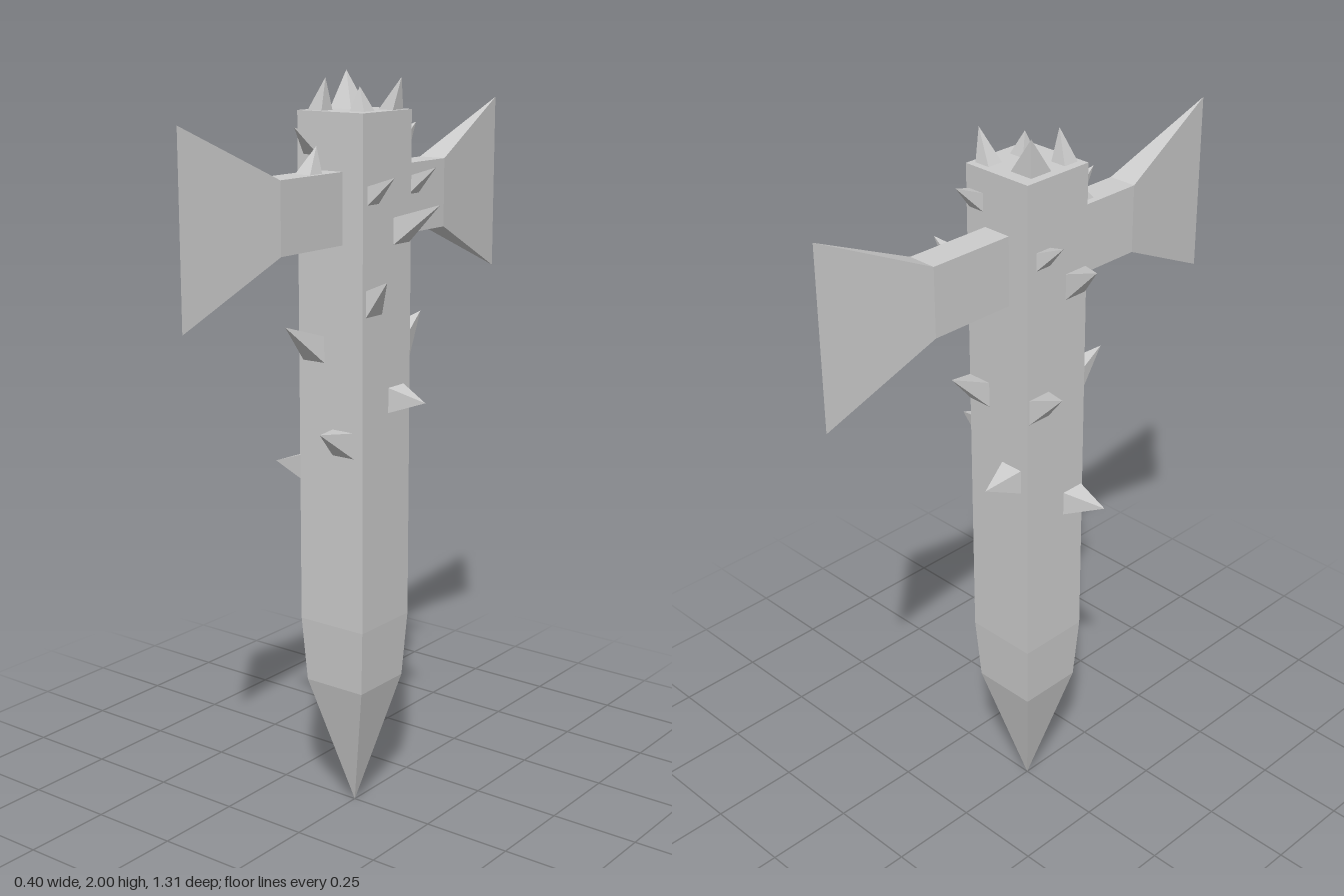
import * as THREE from 'three';

const material = new THREE.MeshStandardMaterial({ color: 0xcccccc, flatShading: true });
const HALF = 0.103; // half width of the post
const TOP = 1.905;

function addMesh(parent, name, geometry) {
  const flat = geometry.toNonIndexed();
  flat.computeVertexNormals();
  const mesh = new THREE.Mesh(flat, material);
  mesh.name = name;
  parent.add(mesh);
}

// Square post sharpened to a point at the bottom
function postGeometry() {
  const points = [[0, 0], [0.092, 0.37], [HALF, 0.55], [HALF, TOP], [0, TOP]]
    .map(([half, y]) => new THREE.Vector2(half * Math.SQRT2, y));
  return new THREE.LatheGeometry(points, 4, Math.PI / 4);
}

// Straight arm that flares into a vertical cutting edge
function bladeGeometry() {
  const geometry = new THREE.BoxGeometry(0.08, 2, 2, 1, 1, 2);
  const p = geometry.attributes.position;
  for (let i = 0; i < p.count; i++) {
    const section = Math.round(p.getZ(i)) + 1;
    const edge = section === 2;
    const [bottom, top] = edge ? [1.43, TOP] : [1.577, 1.76];
    p.setXYZ(i, edge ? 0 : p.getX(i), p.getY(i) > 0 ? top : bottom, [0.09, 0.345, 0.655][section]);
  }
  return geometry;
}

// Spike kinds: length outwards, upward lean of the tip, base size
const SMALL = { length: 0.067, lean: 0.048, size: 0.048 };
const LARGE = { length: 0.098, lean: 0.068, size: 0.07 };
const LEVEL = { length: 0.095, lean: 0, size: 0.068 };
const SLIM = { length: 0.082, lean: 0, size: 0.045 };
const STUB = { length: 0.053, lean: 0.06, size: 0.07 };

// Four-sided spike on a face that looks along local +z; drift moves the tip sideways
function addSpike(side, kind, x, y, drift = 0, out = HALF - 0.001) {
  const geometry = new THREE.ConeGeometry(kind.size * Math.SQRT1_2, 1, 4);
  geometry.rotateY(Math.PI / 4).translate(0, 0.5, 0).rotateX(Math.PI / 2);
  const shear = new THREE.Matrix4().makeBasis(
    new THREE.Vector3(1, 0, 0),
    new THREE.Vector3(0, 1, 0),
    new THREE.Vector3(drift, kind.lean, kind.length),
  );
  geometry.applyMatrix4(shear.setPosition(x, y, out));
  addMesh(side, 'spike', geometry);
}

// Group whose local +z points out of one face of the post
function addSide(model, name, turn, tilt = 0) {
  const side = new THREE.Group();
  side.name = name;
  side.rotation.set(tilt, turn, 0);
  model.add(side);
  return side;
}

export function createModel() {
  const model = new THREE.Group();
  model.name = 'spikedStake';

  addMesh(model, 'post', postGeometry());
  addMesh(model, 'frontBlade', bladeGeometry());
  addMesh(model, 'backBlade', bladeGeometry().rotateY(Math.PI));

  const left = addSide(model, 'leftSpikes', Math.PI / 2);
  addSpike(left, SMALL, -0.06, 1.702);
  addSpike(left, LARGE, 0.062, 1.603, 0.033);
  addSpike(left, STUB, -0.055, 1.43, -0.015);
  addSpike(left, LEVEL, 0.042, 1.165);
  addSpike(left, SMALL, 0.203, 1.702, 0.007, 0.039); // on the back blade

  const right = addSide(model, 'rightSpikes', -Math.PI / 2);
  addSpike(right, SMALL, -0.05, 1.702);
  addSpike(right, LARGE, 0.065, 1.603, -0.03);
  addSpike(right, LARGE, -0.062, 1.3, -0.018);
  addSpike(right, LEVEL, 0.065, 0.975, 0.025);

  const front = addSide(model, 'frontSpikes', 0);
  addSpike(front, SMALL, -0.06, 1.82);
  addSpike(front, LARGE, -0.055, 1.302, -0.015);
  addSpike(front, { ...LARGE, lean: 0.045 }, 0.04, 1.06);

  const back = addSide(model, 'backSpikes', Math.PI);
  addSpike(back, SMALL, -0.07, 1.82);
  addSpike(back, LARGE, -0.068, 1.302);
  addSpike(back, LEVEL, 0.045, 1.09);

  const top = addSide(model, 'topSpikes', 0, -Math.PI / 2);
  const roof = TOP - 0.001;
  addSpike(top, { ...LEVEL, lean: 0.03 }, -0.045, 0.033, -0.03, roof);
  addSpike(top, SLIM, -0.058, -0.068, 0.018, roof);
  addSpike(top, SLIM, 0.067, 0.062, 0.033, roof);
  addSpike(top, { ...SLIM, length: 0.061 }, 0.05, -0.036, -0.007, roof);
  addSpike(top, { ...SMALL, lean: 0.032 }, 0.003, -0.192, 0, 1.759); // on the front blade

  return model;
}
